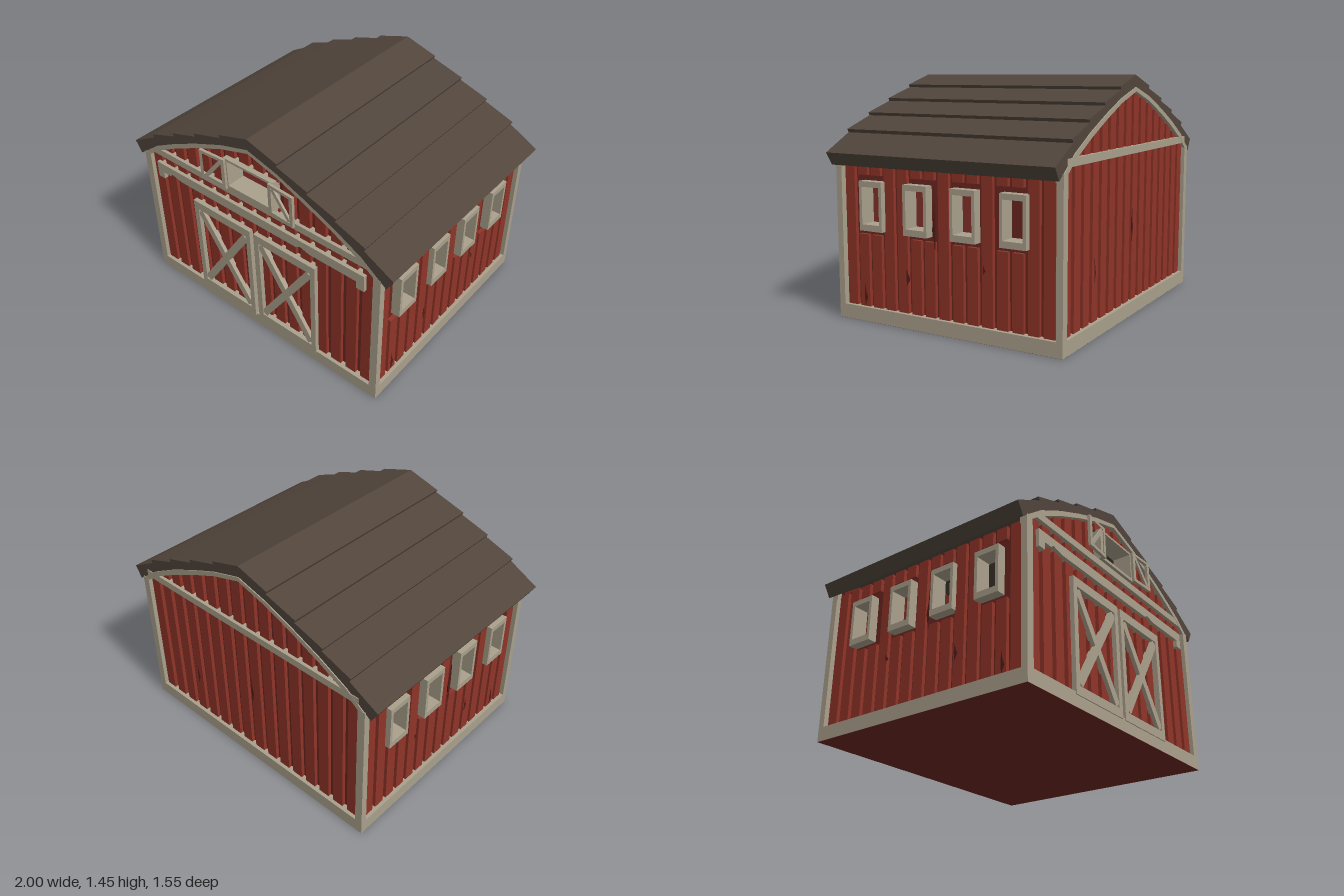
import * as THREE from 'three';

const mat = (color) => new THREE.MeshStandardMaterial({ color, roughness: 0.9, flatShading: true });
const RED = mat(0x8f3428), DARK = mat(0x6b2620), CRACK = mat(0x521c18);
const TRIM = mat(0xaaa08c), ROOF = mat(0x51453c);

// Underside and stepped top of the right half of the roof, ridge first
const UNDER = [[0, 1.375], [0.21, 1.315], [0.41, 1.235], [0.6, 1.15], [0.79, 1.05], [0.955, 0.925]];
const TOP = [[0, 1.446], [0.217, 1.38], [0.21, 1.363], [0.427, 1.298], [0.42, 1.28], [0.622, 1.216],
  [0.612, 1.198], [0.815, 1.125], [0.805, 1.105], [1, 1]];

function underY(x) {
  const a = Math.abs(x);
  let i = 1;
  while (i < UNDER.length - 1 && UNDER[i][0] < a) i++;
  const [x0, y0] = UNDER[i - 1], [x1, y1] = UNDER[i];
  return y0 + (y1 - y0) * (a - x0) / (x1 - x0);
}

const flip = (pts) => pts.map(([x, y]) => [-x, y]);
const poly = (pts) => new THREE.Shape(pts.map(([x, y]) => new THREE.Vector2(x, y)));
const rect = (x0, x1, y0, y1) => [[x0, y0], [x1, y0], [x1, y1], [x0, y1]];

// Prism of an outline from z0 to z1, with optional holes
function prism(parent, name, pts, z0, z1, material, holes = []) {
  const shape = poly(pts);
  holes.forEach((h) => shape.holes.push(poly(h)));
  const geo = new THREE.ExtrudeGeometry(shape, { depth: z1 - z0, bevelEnabled: false });
  geo.translate(0, 0, z0);
  const mesh = new THREE.Mesh(geo, material);
  mesh.name = name;
  parent.add(mesh);
  return mesh;
}

// Straight bar between two points
function bar(parent, name, a, b, width, z0, z1) {
  const dx = b[0] - a[0], dy = b[1] - a[1];
  const mesh = new THREE.Mesh(new THREE.BoxGeometry(Math.hypot(dx, dy), width, z1 - z0), TRIM);
  mesh.position.set((a[0] + b[0]) / 2, (a[1] + b[1]) / 2, (z0 + z1) / 2);
  mesh.rotation.z = Math.atan2(dy, dx);
  mesh.name = name;
  parent.add(mesh);
}

function crack(parent, x, y, h, w, z) {
  prism(parent, 'crack', [[x, y], [x + w, y + h * 0.4], [x + w * 0.4, y + h * 0.65], [x, y + h],
    [x - w * 0.25, y + h * 0.5]], z - 0.005, z + 0.001, CRACK);
}

// Gable wall facing +z; its trim lies at z = 0
function gableWall(name, hasLoft) {
  const g = new THREE.Group();
  g.name = name;
  const half = [[0.89, underY(0.89)], ...UNDER.slice(1, 5).reverse()];
  const profile = [[-0.89, 0.01], [0.89, 0.01], ...half, UNDER[0], ...flip(half).reverse()];
  const hole = rect(-0.165, 0.165, 1.055, 1.232);
  prism(g, 'wallPlate', profile, -0.075, -0.045, DARK, hasLoft ? [hole] : []);

  // Vertical boards
  const count = 16, step = 1.76 / count;
  for (let i = 0; i < count; i++) {
    const x0 = -0.88 + i * step + 0.018, x1 = x0 + step - 0.036;
    const board = (y0, y1) => prism(g, 'board',
      [[x0, y0], [x1, y0], [x1, y1 ?? underY(x1)], [x0, y1 ?? underY(x0)]], -0.046, -0.022, RED);
    if (hasLoft && x1 > -0.165 && x0 < 0.165) {
      board(0.05, 1.05);
      board(1.238);
    } else board(0.05);
  }

  // Posts, base, tie beam and the arched trim under the roof
  for (const s of [-1, 1]) {
    prism(g, 'cornerPost', rect(s * 0.895 - 0.025, s * 0.895 + 0.025, 0, 0.96), -0.04, 0, TRIM);
  }
  prism(g, 'baseTrim', rect(-0.92, 0.92, 0, 0.085), -0.046, 0, TRIM);
  prism(g, 'tieBeam', rect(-0.87, 0.87, 0.985, 1.03), -0.046, -0.002, TRIM);
  const arch = [[0.92, underY(0.92)], ...UNDER.slice(1, 5).reverse()];
  const outer = [...arch, UNDER[0], ...flip(arch).reverse()];
  const inner = outer.map(([x, y]) => [x, y - 0.026 - 0.014 * Math.abs(x)]).reverse();
  prism(g, 'archTrim', [...outer, ...inner], -0.046, -0.001, TRIM);
  return g;
}

// Barn door: frame with crossed braces
function barnDoor(parent, x0, x1) {
  const door = new THREE.Group();
  door.name = 'barnDoor';
  const a = x0 + 0.037, b = x1 - 0.035;
  prism(door, 'doorFrame', rect(x0, x1, 0.07, 0.777), -0.04, 0.006, TRIM, [rect(a, b, 0.125, 0.72)]);
  bar(door, 'doorBrace', [a + 0.01, 0.14], [b - 0.01, 0.705], 0.048, -0.03, 0.003);
  bar(door, 'doorBrace', [a + 0.01, 0.705], [b - 0.01, 0.14], 0.048, -0.03, 0.002);
  parent.add(door);
}

// Open loft shutter, s = side
function loftShutter(parent, s) {
  const shutter = new THREE.Group();
  shutter.name = 'loftShutter';
  const m = (pts) => (s > 0 ? pts : flip(pts));
  prism(shutter, 'shutterFrame', m(rect(0, 0.187, 1.037, 1.245)), 0, 0.018, TRIM,
    [m(rect(0.024, 0.163, 1.058, 1.226))]);
  bar(shutter, 'shutterBrace', [s * 0.03, 1.22], [s * 0.157, 1.064], 0.024, 0.002, 0.016);
  shutter.position.set(s * 0.168, 0, 0.012);
  shutter.rotation.y = -s * 0.06;
  parent.add(shutter);
}

// Long side wall facing local +z, s = side of the barn
function sideWall(s) {
  const g = new THREE.Group();
  g.name = s > 0 ? 'leftWall' : 'rightWall';
  const windows = [0.472, 0.155, -0.165, -0.483].map((z) => -s * (z + 0.02));
  prism(g, 'wallPlate', rect(-0.72, 0.72, 0.01, 0.965), -0.075, -0.045, DARK,
    windows.map((x) => rect(x - 0.07, x + 0.07, 0.575, 0.815)));

  // Boards, interrupted above and below each window
  const count = 15, step = 1.43 / count;
  for (let i = 0; i < count; i++) {
    const x0 = -0.715 + i * step + 0.012, x1 = x0 + step - 0.026;
    const board = (y0, y1) => prism(g, 'board', rect(x0, x1, y0, y1), -0.046, -0.022, RED);
    if (windows.some((x) => x1 > x - 0.07 && x0 < x + 0.07)) {
      board(0.05, 0.52);
      board(0.87, 0.95);
    } else board(0.05, 0.95);
  }
  for (const x of windows) {
    prism(g, 'windowFrame', rect(x - 0.082, x + 0.082, 0.547, 0.838), -0.09, 0.012, TRIM,
      [rect(x - 0.062, x + 0.062, 0.585, 0.805)]);
  }
  prism(g, 'baseTrim', rect(-0.75, 0.75, 0, 0.085), -0.046, 0, TRIM);
  [[0.555, 0.09, 0.13, 0.02], [0.24, 0.25, 0.1, 0.02], [0.04, 0.48, 0.28, -0.018], [-0.28, 0.38, 0.05, 0.015]]
    .forEach(([z, y, h, w]) => crack(g, -s * (z + 0.02), y, h, w, -0.022));
  g.position.set(s * 0.92, 0, -0.02);
  g.rotation.y = s * Math.PI / 2;
  return g;
}

export function createModel() {
  const barn = new THREE.Group();
  barn.name = 'barn';

  const front = gableWall('frontWall', true);
  front.position.z = 0.735;
  barnDoor(front, -0.5, -0.027);
  barnDoor(front, 0.003, 0.472);

  // Sliding door rail with worn notches
  prism(front, 'doorRail', [[-0.813, 0.813], [-0.76, 0.813], [-0.76, 0.86], [-0.7, 0.86], [-0.68, 0.878],
    [-0.6, 0.86], [0.33, 0.86], [0.365, 0.878], [0.43, 0.86], [0.76, 0.86], [0.76, 0.813], [0.813, 0.813],
    [0.813, 0.923], [-0.813, 0.923]], -0.046, 0, TRIM);

  // Hay loft opening
  prism(front, 'loftFrame', rect(-0.19, 0.19, 1.038, 1.245), -0.11, 0.011, TRIM,
    [rect(-0.162, 0.162, 1.058, 1.23)]);
  loftShutter(front, 1);
  loftShutter(front, -1);

  const back = gableWall('backWall', false);
  back.position.z = -0.775;
  back.rotation.y = Math.PI;
  crack(back, 0.02, 0.45, 0.2, 0.015, -0.022);
  crack(back, -0.5, 0.3, 0.15, 0.015, -0.022);
  barn.add(front, back, sideWall(1), sideWall(-1));

  // Floor
  const floor = new THREE.Mesh(new THREE.BoxGeometry(1.838, 0.03, 1.508), DARK);
  floor.position.set(0, 0.014, -0.02);
  floor.name = 'floor';
  barn.add(floor);

  // Stepped roof
  const right = [...TOP.slice(1), ...UNDER.slice(1).reverse()];
  prism(barn, 'roof', [TOP[0], ...right, UNDER[0], ...flip(right).reverse()], -0.768, 0.735, ROOF);
  return barn;
}
